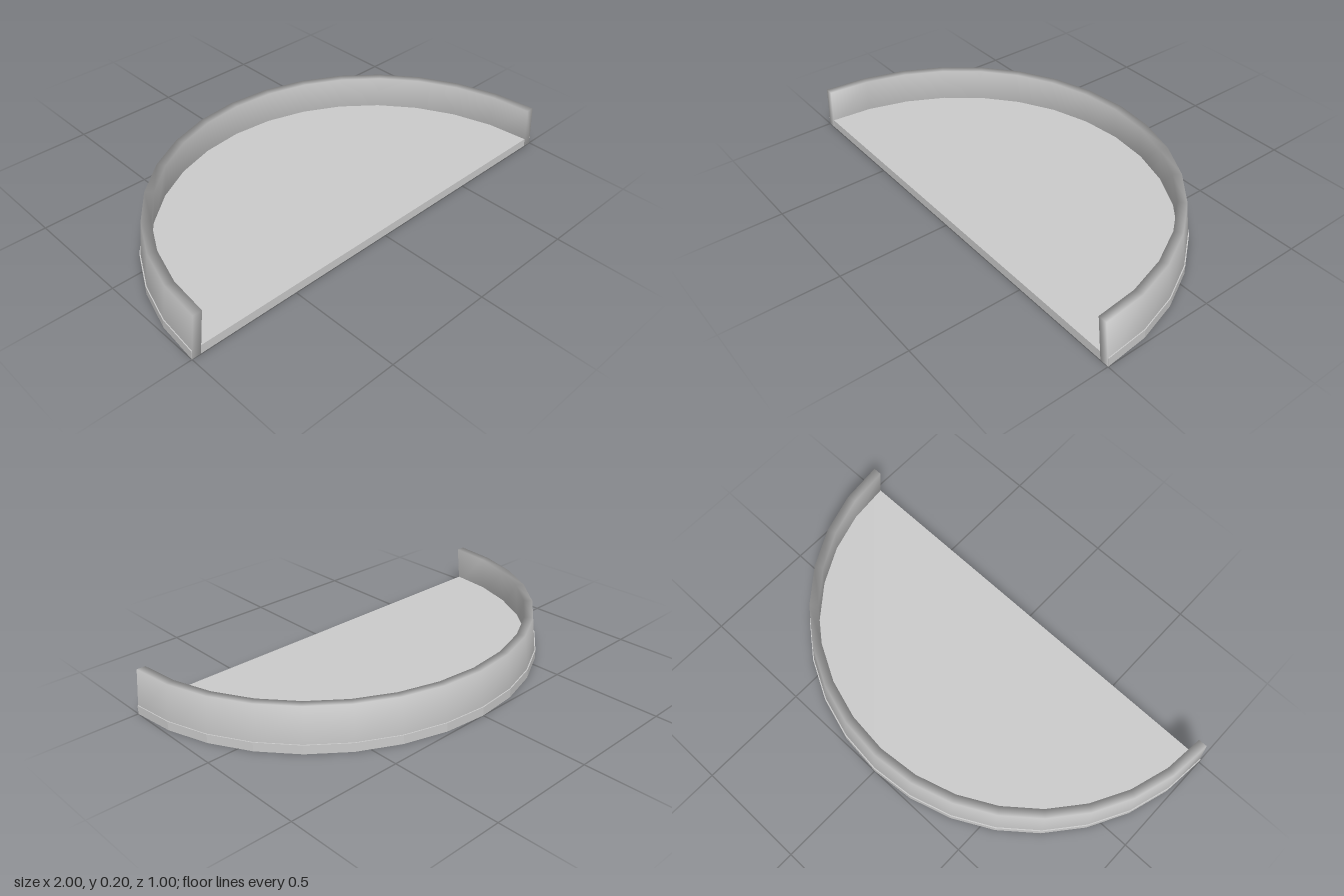
import * as THREE from 'three';

const SEGMENTS = 16;
const BACK = 0.5; // z of the half circle's centre

export function createModel() {
  const group = new THREE.Group();
  const material = new THREE.MeshStandardMaterial({ color: 0xcccccc });
  const angles = Array.from({ length: SEGMENTS + 1 }, (_, i) => (i / SEGMENTS) * Math.PI);

  // Half-round base plate with faceted edge
  const outline = new THREE.Shape(angles.map((a) => new THREE.Vector2(Math.cos(a), Math.sin(a))));
  const plateGeometry = new THREE.ExtrudeGeometry(outline, { depth: 0.04, bevelEnabled: false });
  plateGeometry.rotateX(-Math.PI / 2).translate(0, 0, BACK - 0.001);
  const plate = new THREE.Mesh(plateGeometry, material);
  plate.name = 'basePlate';
  group.add(plate);

  // Curved rim leaning inwards: a four-cornered section (radius, height) swept round the arc
  const section = [[1, 0.001], [0.98, 0.2], [0.94, 0.2], [0.96, 0.001]];
  const n = section.length;
  const positions = [];
  const index = [];
  angles.forEach((a, i) => {
    section.forEach(([r, y], j) => {
      positions.push(r * Math.cos(a), y, BACK - r * Math.sin(a));
      if (i === SEGMENTS) return;
      const k = (j + 1) % n;
      const p = i * n + j, q = p + n, s = i * n + k, t = s + n;
      index.push(p, q, t, p, t, s);
    });
  });
  // Flat ends of the rim
  const e = SEGMENTS * n;
  index.push(0, 1, 2, 0, 2, 3, e, e + 2, e + 1, e, e + 3, e + 2);

  const rimGeometry = new THREE.BufferGeometry();
  rimGeometry.setAttribute('position', new THREE.Float32BufferAttribute(positions, 3));
  rimGeometry.setIndex(index);
  rimGeometry.computeVertexNormals();
  const rim = new THREE.Mesh(rimGeometry, material);
  rim.name = 'rim';
  group.add(rim);

  return group;
}
